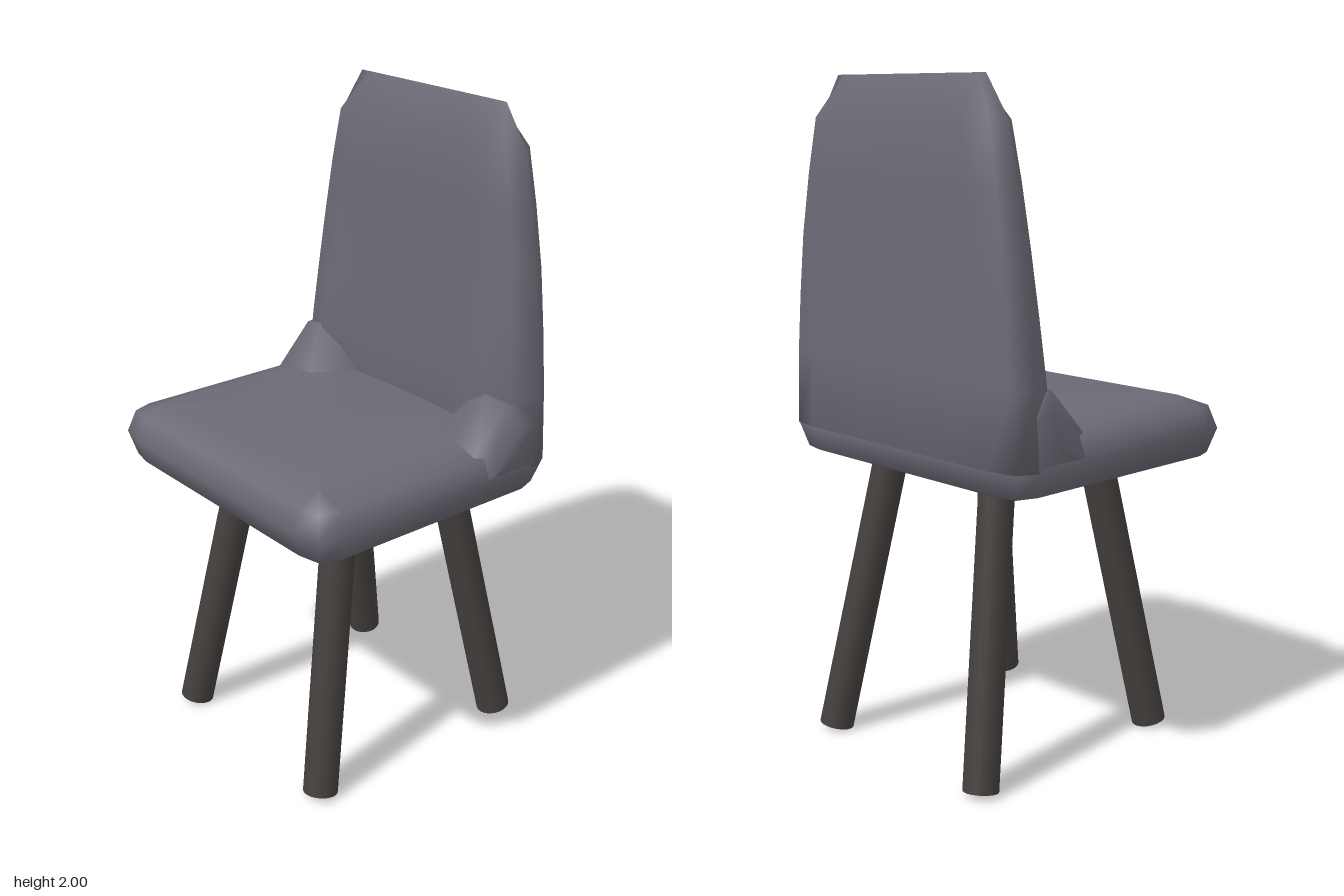
import * as THREE from 'three';

const shellMat = new THREE.MeshStandardMaterial({ color: 0x6b6a75, side: THREE.DoubleSide });
const legMat = new THREE.MeshStandardMaterial({ color: 0x443f3d });

// Skin a list of equal-length rings of [x, y, z] points, closing both ends.
function loft(name, rings) {
  const n = rings[0].length;
  const pos = rings.flat(2);
  const idx = [];
  for (let r = 0; r < rings.length - 1; r++) {
    for (let i = 0; i < n; i++) {
      const a = r * n + i, b = r * n + (i + 1) % n;
      idx.push(a, b, b + n, a, b + n, a + n);
    }
  }
  const cap = (ring, start, flip) => {
    const c = pos.length / 3;
    for (let k = 0; k < 3; k++) pos.push(ring.reduce((s, p) => s + p[k], 0) / n);
    for (let i = 0; i < n; i++) {
      const a = start + i, b = start + (i + 1) % n;
      idx.push(...(flip ? [c, b, a] : [c, a, b]));
    }
  };
  cap(rings[0], 0, true);
  cap(rings[rings.length - 1], (rings.length - 1) * n, false);
  const geo = new THREE.BufferGeometry();
  geo.setAttribute('position', new THREE.Float32BufferAttribute(pos, 3));
  geo.setIndex(idx);
  geo.computeVertexNormals();
  const mesh = new THREE.Mesh(geo, shellMat);
  mesh.name = name;
  return mesh;
}

// Horizontal seat outline with corners shrinking to a point as s goes to 0.
function seatRing([y, s]) {
  const corner = [[0, 0.12], [0.08, 0.092], [0.1, 0]];
  const ring = [];
  for (const [sx, sz] of [[1, 1], [1, -1], [-1, -1], [-1, 1]]) {
    const pts = corner.map(([dx, dz]) => [sx * (0.345 + dx * s) - 0.015, y, sz * (0.385 + dz * s)]);
    ring.push(...(sx * sz > 0 ? pts : pts.reverse()));
  }
  return ring;
}

// Horizontal backrest outline: front x, back x, half width, front hollow.
function backRing([y, xf, xb, w, dish]) {
  const xm = 0.36;
  const half = [
    [xm, w], [xm + (xb - xm) * 0.78, w - 0.03], [xb, w - 0.12], [xb, w * 0.3],
  ];
  const front = [
    [xf + dish, w * 0.27], [xf + dish * 0.75, w * 0.5], [xf, w - 0.12], [xf + (xm - xf) * 0.25, w - 0.035],
  ];
  const at = (s) => ([x, z]) => [x, y, s * z];
  return [
    ...half.map(at(1)), ...half.slice().reverse().map(at(-1)),
    ...front.slice().reverse().map(at(-1)), ...front.map(at(1)),
  ];
}

// Vertical slice of the fillet between the seat and the backrest.
function filletRing([z, ax, ay, bx, by], side) {
  return [[0.35, 0.95], [0.35, by], [bx, by], [ax, ay], [ax, 0.95]].map(([x, y]) => [x, y, side * z]);
}

export function createModel() {
  const model = new THREE.Group();
  model.name = 'chair';

  // Soft-edged seat pad
  model.add(loft('seat', [
    [0.86, 0], [0.885, 0.76], [0.96, 1], [1.03, 0.76], [1.06, 0],
  ].map(seatRing)));

  // Tapering backrest closing to a ridge
  model.add(loft('backrest', [
    [0.96, 0.25, 0.43, 0.505, 0.03],
    [1.18, 0.25, 0.432, 0.492, 0.03],
    [1.36, 0.267, 0.432, 0.475, 0.018],
    [1.54, 0.283, 0.43, 0.455, 0.008],
    [1.72, 0.292, 0.424, 0.426, 0.004],
    [1.88, 0.302, 0.415, 0.395, 0],
    [2.0, 0.358, 0.362, 0.31, 0],
  ].map(backRing)));

  // Fillets in the two corners where seat meets backrest
  const slices = [
    [0.22, 0.25, 1.05, 0.29, 1.055],
    [0.3, 0.14, 1.055, 0.265, 1.13],
    [0.385, 0.14, 1.06, 0.25, 1.18],
    [0.462, 0.14, 1.035, 0.262, 1.165],
    [0.5, 0.16, 0.965, 0.3, 1.1],
  ];
  for (const side of [1, -1]) {
    const rings = slices.map((s) => filletRing(s, side));
    model.add(loft(side > 0 ? 'leftFillet' : 'rightFillet', side > 0 ? rings : rings.reverse()));
  }

  // Four splayed round legs
  const up = new THREE.Vector3(0, 1, 0);
  for (const [name, topX, footX] of [['frontLeg', -0.165, -0.322], ['backLeg', 0.245, 0.406]]) {
    for (const side of [1, -1]) {
      const foot = new THREE.Vector3(footX, 0.012, side * 0.33);
      const top = new THREE.Vector3(topX, 0.88, side * 0.231);
      const dir = top.clone().sub(foot);
      const leg = new THREE.Mesh(new THREE.CylinderGeometry(0.053, 0.053, dir.length(), 20), legMat);
      leg.position.copy(foot).add(top).multiplyScalar(0.5);
      leg.quaternion.setFromUnitVectors(up, dir.normalize());
      leg.name = name;
      model.add(leg);
    }
  }
  return model;
}
